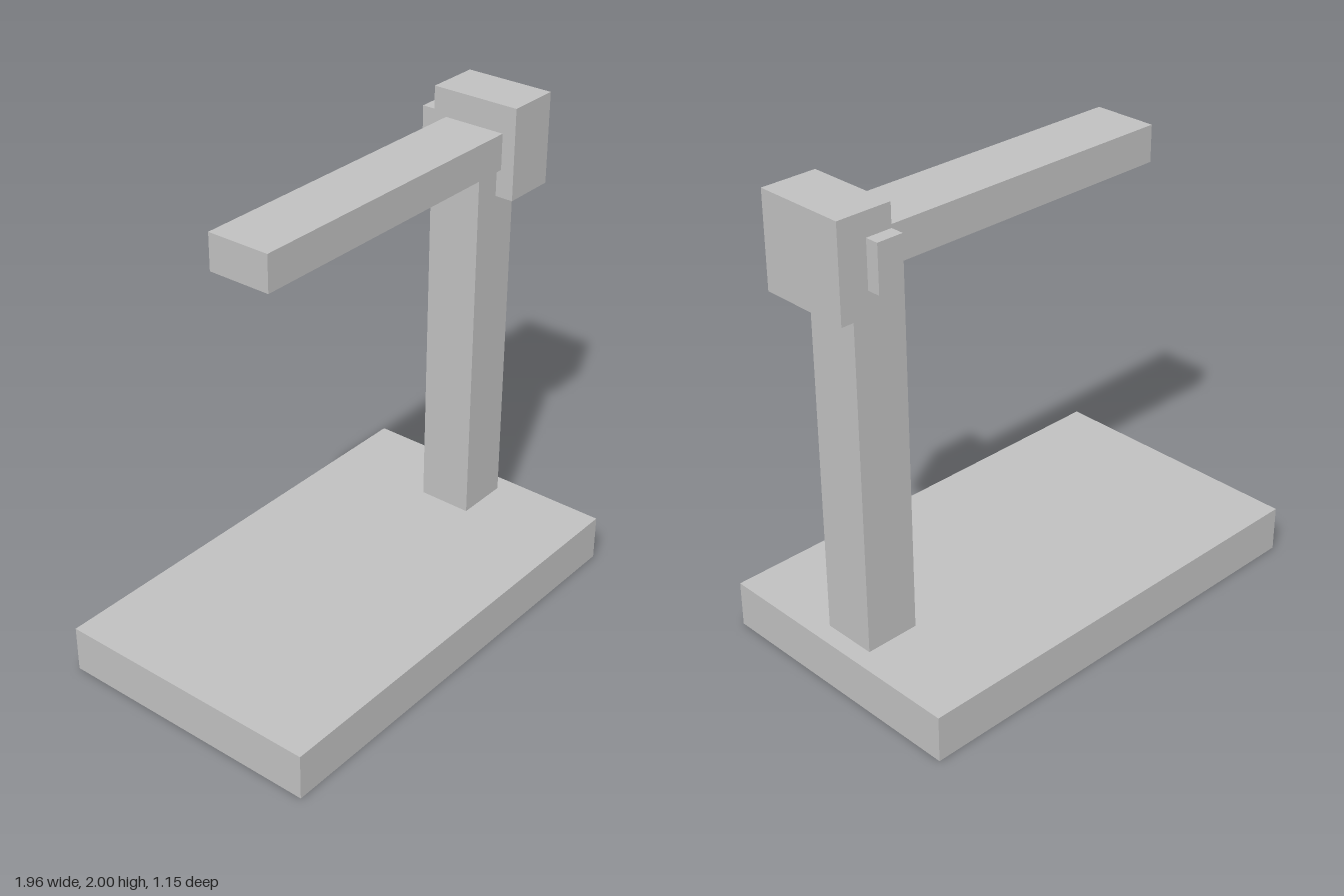
import * as THREE from 'three';

export function createModel() {
  const group = new THREE.Group();
  const gray = new THREE.MeshStandardMaterial({ color: 0xc0c0c0 });
  gray.name = 'light gray';

  // Box given by its extents along each axis
  const addBox = (name, [x0, x1], [y0, y1], [z0, z1]) => {
    const mesh = new THREE.Mesh(new THREE.BoxGeometry(x1 - x0, y1 - y0, z1 - z0), gray);
    mesh.position.set((x0 + x1) / 2, (y0 + y1) / 2, (z0 + z1) / 2);
    mesh.name = name;
    group.add(mesh);
  };

  addBox('base', [-0.98, 0.94], [0, 0.195], [-0.575, 0.575]);
  addBox('column', [0.635, 0.865], [0.195, 1.735], [-0.115, 0.115]);
  addBox('arm', [-0.6, 0.75], [1.735, 1.885], [-0.135, 0.135]);
  addBox('head', [0.75, 0.98], [1.62, 2], [-0.193, 0.193]);
  // Small block on the back of the head
  addBox('backKnob', [0.75, 0.86], [1.715, 1.905], [-0.248, -0.193]);

  return group;
}
